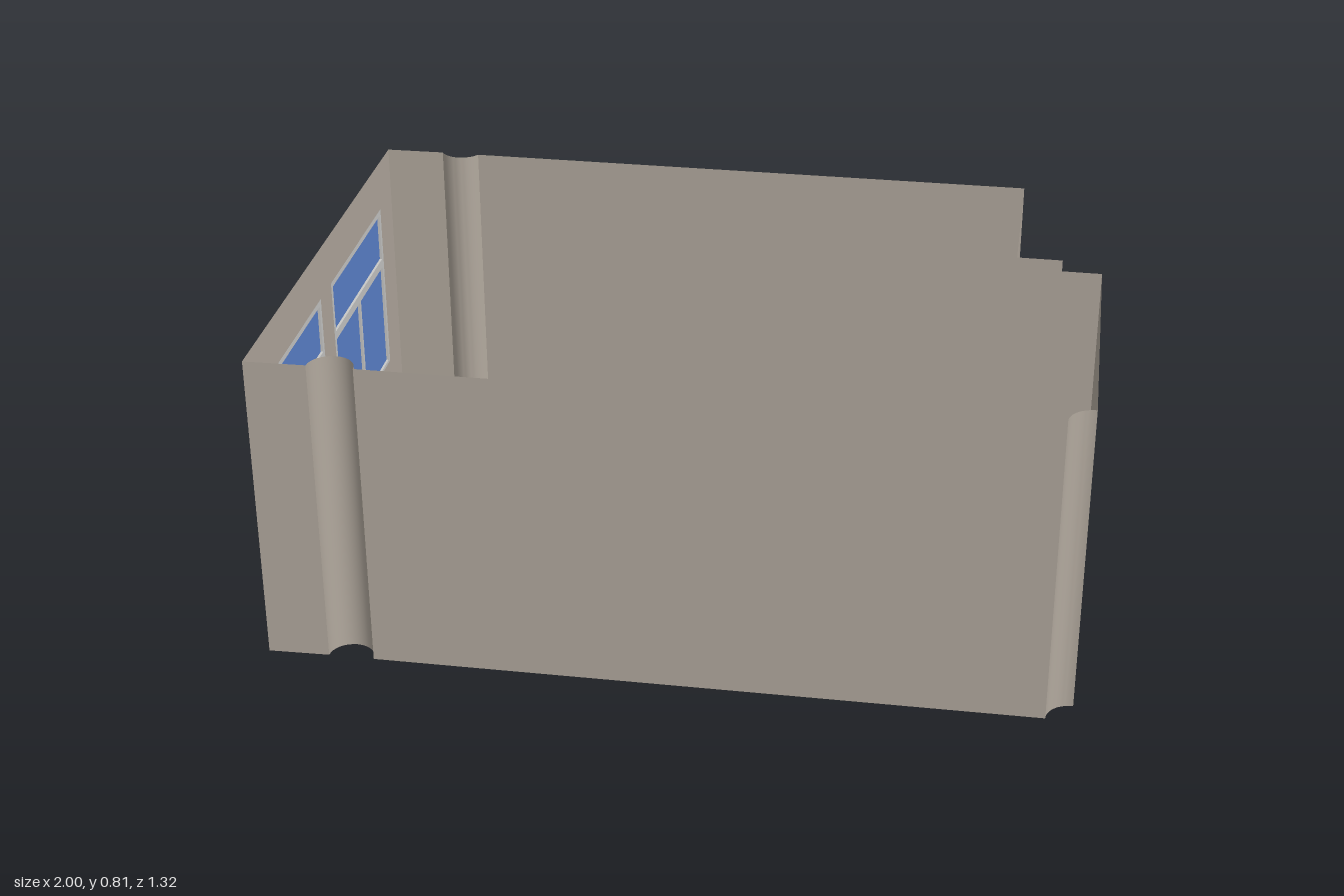
import * as THREE from 'three';
import { toCreasedNormals } from 'three/addons/utils/BufferGeometryUtils.js';

const HEIGHT = 0.806;

function material(name, color) {
  const m = new THREE.MeshStandardMaterial({ color, side: THREE.DoubleSide });
  m.name = name;
  return m;
}

// Points [x, z] along an arc, angles in degrees
function arc(cx, cz, r, from, to, steps = 16) {
  return Array.from({ length: steps + 1 }, (_, i) => {
    const t = THREE.MathUtils.degToRad(from + (to - from) * i / steps);
    return [cx + r * Math.cos(t), cz + r * Math.sin(t)];
  });
}

// Upright strip of wall following a path of [x, z] points
function wallStrip(path) {
  const pos = [];
  for (let i = 0; i < path.length - 1; i++) {
    const [ax, az] = path[i], [bx, bz] = path[i + 1];
    pos.push(ax, 0, az, bx, 0, bz, bx, HEIGHT, bz);
    pos.push(ax, 0, az, bx, HEIGHT, bz, ax, HEIGHT, az);
  }
  const g = new THREE.BufferGeometry();
  g.setAttribute('position', new THREE.Float32BufferAttribute(pos, 3));
  g.computeVertexNormals();
  return toCreasedNormals(g, 0.5);
}

function rect(Type, x0, y0, x1, y1) {
  return new Type([[x0, y0], [x1, y0], [x1, y1], [x0, y1]].map(p => new THREE.Vector2(...p)));
}

// Group whose x axis runs from a to b and whose z axis points outdoors
function wallGroup(name, a, b) {
  const g = new THREE.Group();
  g.name = name;
  g.position.set(a[0], 0, a[1]);
  g.rotation.y = Math.atan2(a[1] - b[1], b[0] - a[0]);
  return g;
}

export function createModel() {
  const plaster = material('plaster', 0xb2a99e);
  const frameGrey = material('frameGrey', 0xc8c8c6);
  const glassBlue = material('glassBlue', 0x5b82cb);
  const room = new THREE.Group();
  room.name = 'room';
  const add = (parent, name, geometry, mat) => {
    const mesh = new THREE.Mesh(geometry, mat);
    mesh.name = name;
    parent.add(mesh);
    return mesh;
  };

  // Plan of the room, starting at the front corner of the window wall
  const frontLeft = [-0.98, 0.66], backLeft = [-0.99, -0.65];
  const doorFront = [0.775, -0.215], doorBack = [0.77, -0.662];
  const frontPath = [
    frontLeft,
    ...arc(-0.771, 0.655, 0.057, 180, 360),
    ...arc(0.997, 0.642, 0.062, 180, 270),
    [0.999, 0.58], [0.99, -0.15], [0.89, -0.15], [0.89, -0.215], doorFront,
  ];
  const backPath = [doorBack, ...arc(-0.785, -0.684, 0.0586, 31, 149), backLeft];

  // Floor
  const plan = new THREE.Shape([...frontPath, ...backPath].map(([x, z]) => new THREE.Vector2(x, -z)));
  const floor = add(room, 'floor', new THREE.ShapeGeometry(plan), plaster);
  floor.rotation.x = -Math.PI / 2;

  // Plain walls with rounded pipe recesses
  add(room, 'frontAndSideWalls', wallStrip(frontPath), plaster);
  add(room, 'backWall', wallStrip(backPath), plaster);

  // Door wall: the opening reaches the back corner
  const doorWall = wallGroup('doorWall', doorFront, doorBack);
  const len = Math.hypot(doorBack[0] - doorFront[0], doorBack[1] - doorFront[1]);
  const doorShape = new THREE.Shape([[0, 0], [0.03, 0], [0.03, 0.675], [len, 0.675], [len, HEIGHT], [0, HEIGHT]]
    .map(p => new THREE.Vector2(...p)));
  add(doorWall, 'doorSurround', new THREE.ShapeGeometry(doorShape), plaster);
  room.add(doorWall);

  // Window wall with two openings
  const windowWall = wallGroup('windowWall', backLeft, frontLeft);
  const wallShape = rect(THREE.Shape, 0, 0, 1.31, HEIGHT);
  const y0 = 0.205, y1 = 0.675, width = 0.487, depth = 0.013;
  for (const [name, x0] of [['backWindow', 0.114], ['frontWindow', 0.694]]) {
    const x1 = x0 + width, mid = x0 + width / 2;
    wallShape.holes.push(rect(THREE.Path, x0, y0, x1, y1));

    // Frame with a wide upper light and two lower panes
    const frame = rect(THREE.Shape, x0, y0, x1, y1);
    frame.holes.push(
      rect(THREE.Path, x0 + 0.014, 0.53, x1 - 0.014, y1 - 0.015),
      rect(THREE.Path, x0 + 0.014, y0 + 0.009, mid - 0.006, 0.506),
      rect(THREE.Path, mid + 0.006, y0 + 0.009, x1 - 0.014, 0.506),
    );
    const win = new THREE.Group();
    win.name = name;
    add(win, 'windowFrame', new THREE.ExtrudeGeometry(frame, { depth, bevelEnabled: false }), frameGrey);
    const glass = add(win, 'glass', new THREE.PlaneGeometry(width - 0.01, y1 - y0 - 0.01), glassBlue);
    glass.position.set(mid, (y0 + y1) / 2, depth / 2);
    windowWall.add(win);
  }
  add(windowWall, 'windowWallPanel', new THREE.ShapeGeometry(wallShape), plaster);
  room.add(windowWall);
  return room;
}
